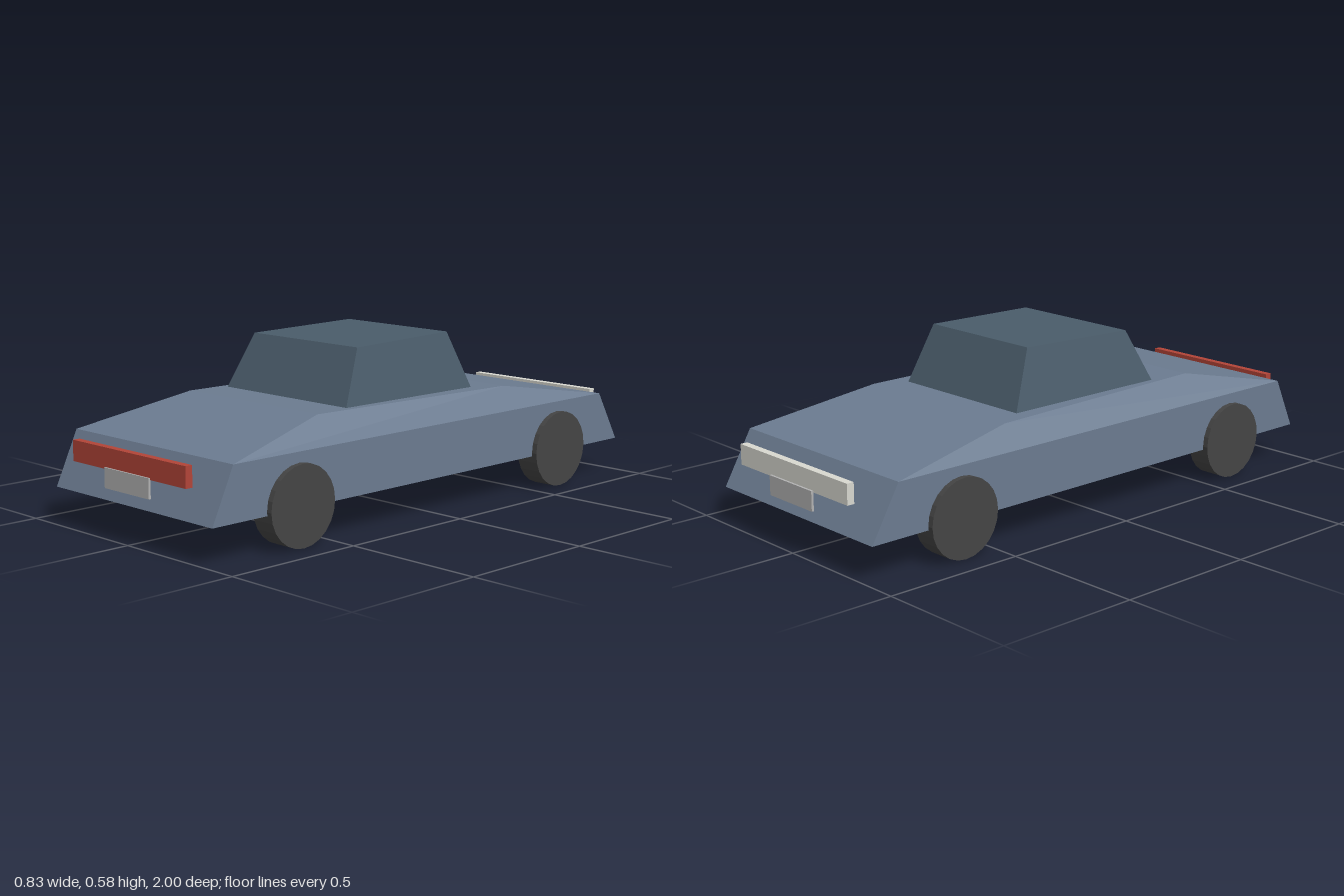
import * as THREE from 'three';
import { ConvexGeometry } from 'three/addons/geometries/ConvexGeometry.js';

const paint = (color) => new THREE.MeshStandardMaterial({ color, flatShading: true });

// Faceted solid from half-section corners [x, y, z], mirrored across x = 0
function facetedHull(corners) {
  const points = corners.flatMap(([x, y, z]) => [
    new THREE.Vector3(x, y, z),
    new THREE.Vector3(-x, y, z),
  ]);
  return new ConvexGeometry(points);
}

export function createModel() {
  const car = new THREE.Group();
  car.name = 'car';

  const add = (name, geometry, material, x = 0, y = 0, z = 0) => {
    const mesh = new THREE.Mesh(geometry, material);
    mesh.name = name;
    mesh.position.set(x, y, z);
    car.add(mesh);
    return mesh;
  };

  // Wedge body: floor, belt line, then the raised deck
  add('body', facetedHull([
    [0.395, 0.123, 0.985], [0.395, 0.123, -0.985],
    [0.395, 0.305, 0.9], [0.395, 0.305, -0.88],
    [0.317, 0.392, 0.48], [0.34, 0.383, -0.4],
  ]), paint(0x6b7b90));

  // Cabin, narrowing towards the roof and the rear
  add('cabin', facetedHull([
    [0.295, 0.389, 0.33], [0.28, 0.383, -0.295],
    [0.253, 0.575, 0.238], [0.24, 0.584, -0.21],
  ]), paint(0x4a5c6a));

  // Wheels
  const wheelGeometry = new THREE.CylinderGeometry(0.135, 0.135, 0.085, 24);
  wheelGeometry.rotateZ(Math.PI / 2);
  const rubber = paint(0x444444);
  for (const [end, z] of [['front', 0.632], ['rear', -0.632]]) {
    for (const [side, x] of [['Left', 0.3725], ['Right', -0.3725]]) {
      add(`${end}${side}Wheel`, wheelGeometry, rubber, x, 0.135, z);
    }
  }

  // Light bars and plates at both ends
  const barGeometry = new THREE.BoxGeometry(0.57, 0.07, 0.026);
  const plateGeometry = new THREE.BoxGeometry(0.224, 0.067, 0.008);
  const plateMaterial = paint(0xb2b2b2);
  add('frontLightBar', barGeometry, paint(0xb24438), 0, 0.262, 0.981);
  add('rearLightBar', barGeometry, paint(0xd8d8d0), 0, 0.262, -0.978);
  add('frontPlate', plateGeometry, plateMaterial, 0, 0.2, 0.996);
  add('rearPlate', plateGeometry, plateMaterial, 0, 0.2, -0.996);

  return car;
}
